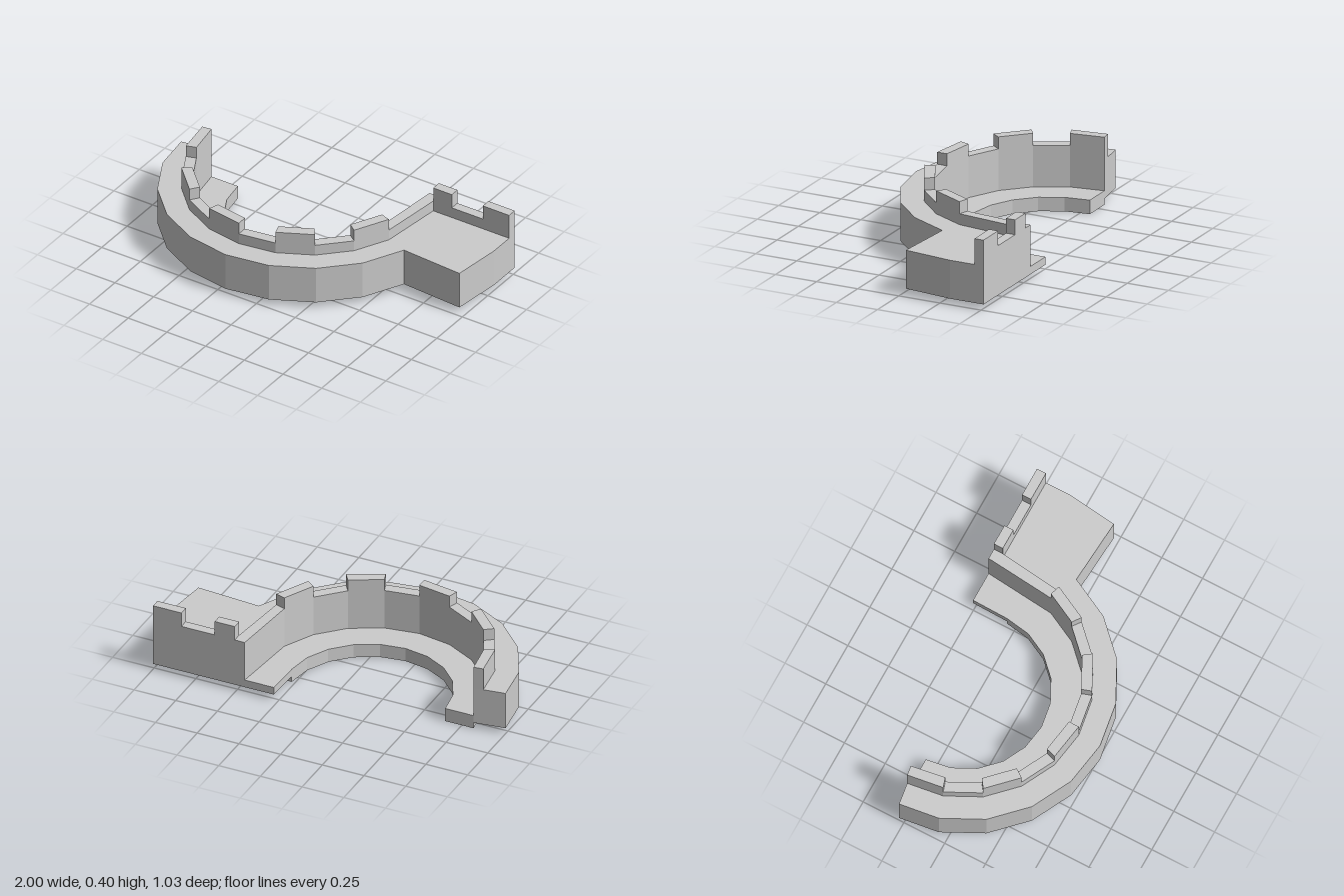
import * as THREE from 'three';

const CX = -0.19, CZ = -0.305, STEP = 18;

export function createModel() {
  const group = new THREE.Group();
  const material = new THREE.MeshStandardMaterial({ color: 0xcccccc, flatShading: true });

  // Plan point on the curve: 0 degrees faces the front, positive turns to +x
  const polar = (r, deg) => {
    const a = THREE.MathUtils.degToRad(deg);
    return [CX + r * Math.sin(a), CZ + r * Math.cos(a)];
  };
  const arc = (r, from, to) => {
    const points = [], dir = Math.sign(to - from);
    for (let d = from; dir * (to - d) >= 0; d += dir * STEP) points.push(polar(r, d));
    return points;
  };
  // Upright prism over a plan outline of [x, z] points
  const prism = (name, plan, y0, y1) => {
    const shape = new THREE.Shape(plan.map(([x, z]) => new THREE.Vector2(x, -z)));
    const geometry = new THREE.ExtrudeGeometry(shape, { depth: y1 - y0, bevelEnabled: false });
    geometry.rotateX(-Math.PI / 2).translate(0, y0, 0);
    const mesh = new THREE.Mesh(geometry, material);
    mesh.name = name;
    group.add(mesh);
  };

  const RIN = 0.46, RWALL = 0.63, RPARAPET = 0.69, ROUT = 0.82;
  const outerEnd = [-1, -0.28], parapetEnd = [-0.875, -0.298];
  const wallInner = arc(RWALL, 72, -90);

  // Curved walkway running into the platform on the right
  prism('walkway', [
    outerEnd, ...arc(ROUT, -72, 72),
    [0.965, -0.025], [1, -0.31], [1, -0.515], [0.45, -0.515], ...wallInner,
  ], 0.035, 0.255);

  // Low parapet along the inner edge and across the back of the platform
  prism('parapet', [
    parapetEnd, ...arc(RPARAPET, -72, 72),
    [0.51, -0.46], [1, -0.46], [1, -0.515], [0.45, -0.515], ...wallInner,
  ], 0.255, 0.318);

  // Merlons on every other facet of the curve
  for (let d = -90; d <= 54; d += 2 * STEP) {
    prism('merlon', [
      d === -90 ? parapetEnd : polar(RPARAPET, d), polar(RPARAPET, d + STEP),
      polar(RWALL, d + STEP), polar(RWALL, d),
    ], 0.318, 0.387);
  }

  // Taller merlons on the straight back wall
  for (const [x0, x1] of [[0.51, 0.63], [0.83, 1]]) {
    prism('backMerlon', [[x0, -0.46], [x1, -0.46], [x1, -0.515], [x0, -0.515]], 0.318, 0.403);
  }

  // Inner ledge: deeper half ring plus a thin straight continuation
  prism('innerLedge', [...arc(RWALL, -90, 90), ...arc(RIN, 90, -90)], 0, 0.08);
  prism('straightLedge', [
    [0.275, -0.515], [0.45, -0.515], [0.435, CZ], polar(RIN, 90),
  ], 0.035, 0.08);

  return group;
}
